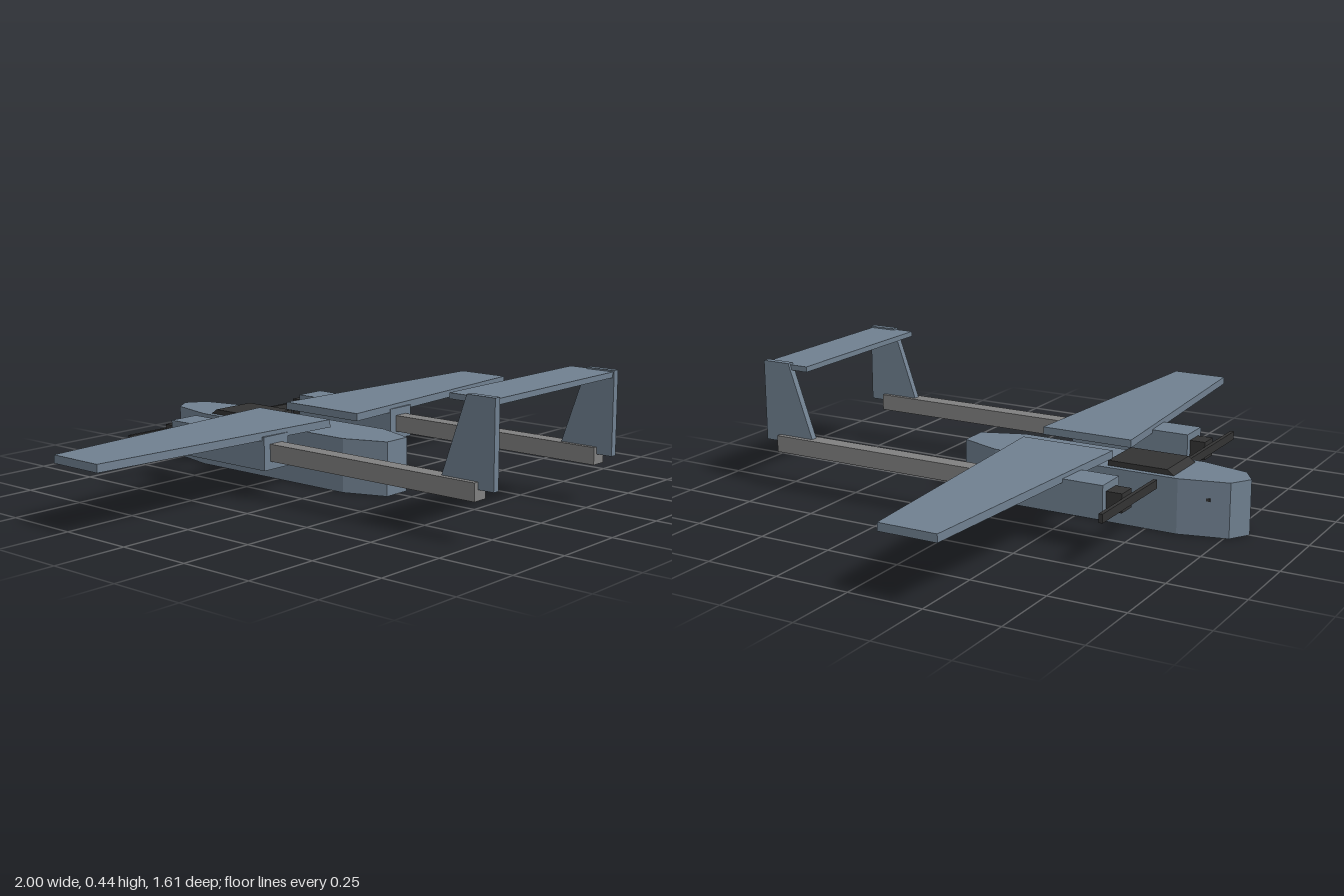
import * as THREE from 'three';

const mat = (name, color) => {
  const m = new THREE.MeshStandardMaterial({ color });
  m.name = name;
  return m;
};

export function createModel() {
  const model = new THREE.Group();
  model.name = 'twinBoomAircraft';
  const blue = mat('slateBlue', 0x708090);
  const grey = mat('boomGrey', 0x808080);
  const dark = mat('darkGrey', 0x333333);

  const add = (name, geometry, material) => {
    const mesh = new THREE.Mesh(geometry, material);
    mesh.name = name;
    model.add(mesh);
    return mesh;
  };
  // Box given by its minimum and maximum on each axis
  const box = (name, [x0, x1], [y0, y1], [z0, z1], material) =>
    add(name, new THREE.BoxGeometry(x1 - x0, y1 - y0, z1 - z0)
      .translate((x0 + x1) / 2, (y0 + y1) / 2, (z0 + z1) / 2), material);
  const shape = (points) => new THREE.Shape(points.map(([a, b]) => new THREE.Vector2(a, b)));
  // Plan outline of [x, z] points, extruded upwards from y0 to y1
  const planSlab = (points, y0, y1) =>
    new THREE.ExtrudeGeometry(shape(points.map(([x, z]) => [x, -z])), { depth: y1 - y0, bevelEnabled: false })
      .rotateX(-Math.PI / 2).translate(0, y0, 0);
  // Side outline of [z, y] points, extruded across from x0 to x1
  const sideSlab = (points, x0, x1) =>
    new THREE.ExtrudeGeometry(shape(points.map(([z, y]) => [-z, y])), { depth: x1 - x0, bevelEnabled: false })
      .rotateY(Math.PI / 2).translate(x0, 0, 0);

  // Fuselage with pointed nose and tapered tail
  const half = [[0.065, -0.765], [0.103, -0.605], [0.103, 0.045], [0.05, 0.188]];
  const mirrored = half.map(([x, z]) => [-x, z]).reverse();
  add('fuselage', planSlab([[0, -0.807], ...half, ...mirrored], 0, 0.18), blue);

  // Canopy with sloped windscreen, and small nose sensor
  add('canopy', sideSlab([[-0.357, 0.17], [-0.357, 0.197], [-0.56, 0.197], [-0.597, 0.17]], -0.083, 0.083), dark);
  box('noseSensor', [-0.083, 0.083], [0.115, 0.125], [-0.706, -0.692], dark);

  for (const s of [-1, 1]) {
    const side = s > 0 ? 'left' : 'right';
    const span = (a, b) => (s > 0 ? [a, b] : [-b, -a]);

    // Tapered wing
    add(side + 'Wing', planSlab([[0.067, -0.365], [1, -0.302], [1, -0.107], [0.067, -0.042]]
      .map(([x, z]) => [s * x, z]), 0.2, 0.226), blue);

    // Engine, hub and two-bladed propeller
    box(side + 'Nacelle', span(0.257, 0.367), [0.103, 0.212], [-0.48, -0.053], blue);
    box(side + 'Hub', span(0.279, 0.344), [0.127, 0.188], [-0.533, -0.478], dark);
    box(side + 'Propeller', span(0.124, 0.5), [0.145, 0.173], [-0.546, -0.533], dark);

    // Tail boom and swept fin
    box(side + 'Boom', span(0.286, 0.34), [0.13, 0.186], [-0.06, 0.75], grey);
    add(side + 'Fin', sideSlab([[0.61, 0.163], [0.705, 0.435], [0.805, 0.435], [0.805, 0.163]],
      ...span(0.3, 0.323)), blue);
  }

  // Tailplane joining the fins
  box('tailplane', [-0.315, 0.315], [0.412, 0.43], [0.637, 0.8], blue);

  return model;
}
